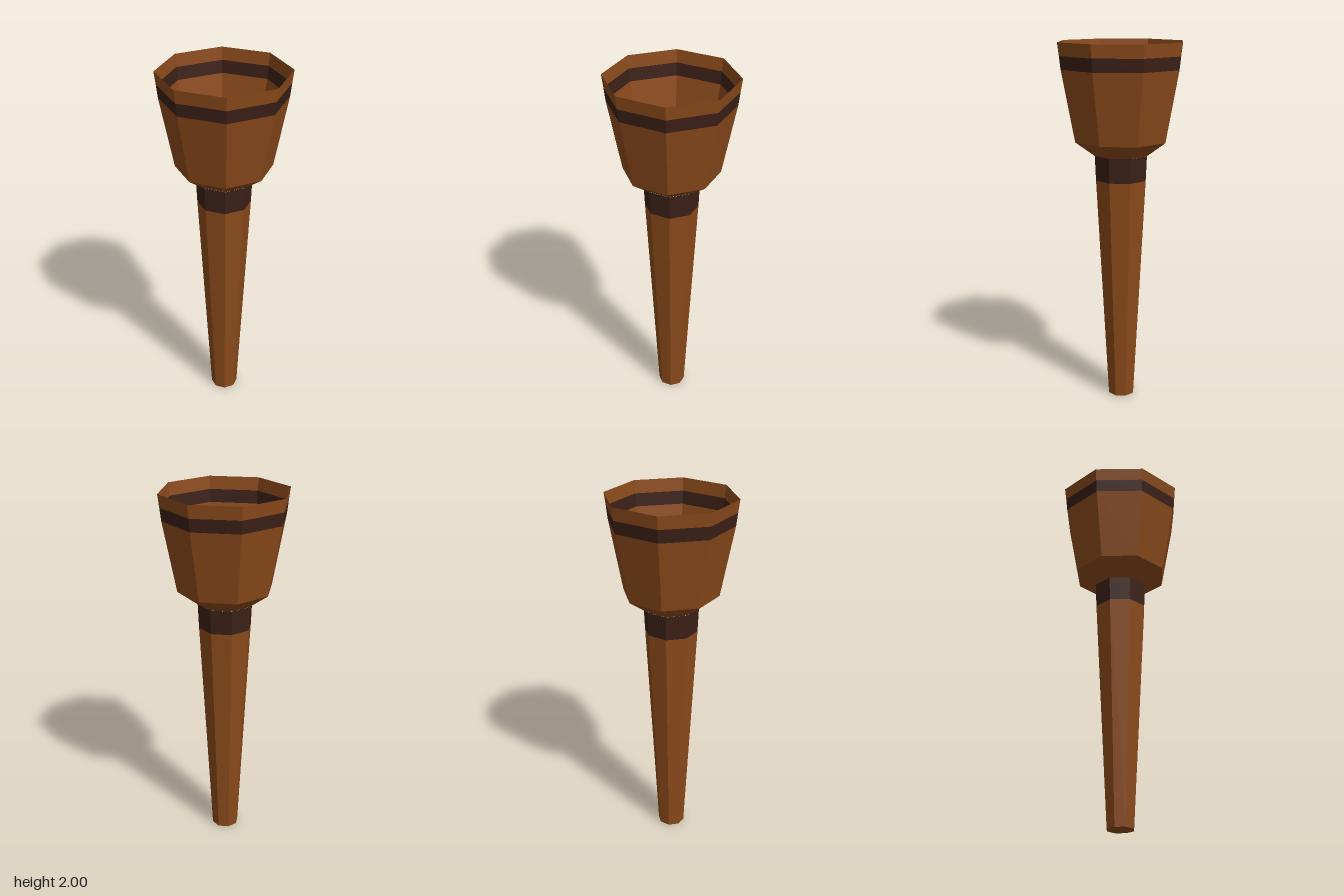
import * as THREE from 'three';

export function createModel() {
  const model = new THREE.Group();
  const wood = { color: 0x8b4a1b, flatShading: true };
  const dark = { color: 0x3b2017, flatShading: true };

  // Eight-sided ring surface through [radius, y] points, listed bottom to top
  function ring(name, look, points, side = THREE.FrontSide) {
    const profile = points.map(([r, y]) => new THREE.Vector2(r, y));
    const mesh = new THREE.Mesh(
      new THREE.LatheGeometry(profile, 8),
      new THREE.MeshStandardMaterial({ ...look, side })
    );
    mesh.name = name;
    model.add(mesh);
  }

  // Tapered handle with a closed foot, and the collar above it
  ring('handle', wood, [[0, 0], [0.075, 0], [0.145, 1.26]]);
  ring('collar', dark, [[0.145, 1.26], [0.151, 1.395]]);

  // Thin open cup, banded inside and out
  ring('cup', wood, [[0.15, 1.395], [0.26, 1.475], [0.334, 1.86]], THREE.DoubleSide);
  ring('rimBand', dark, [[0.334, 1.86], [0.342, 1.93]], THREE.DoubleSide);
  ring('rim', wood, [[0.342, 1.93], [0.351, 2]], THREE.DoubleSide);

  // Flat dark floor inside the cup
  ring('cupFloor', dark, [[0.26, 1.475], [0, 1.475]], THREE.DoubleSide);

  return model;
}
